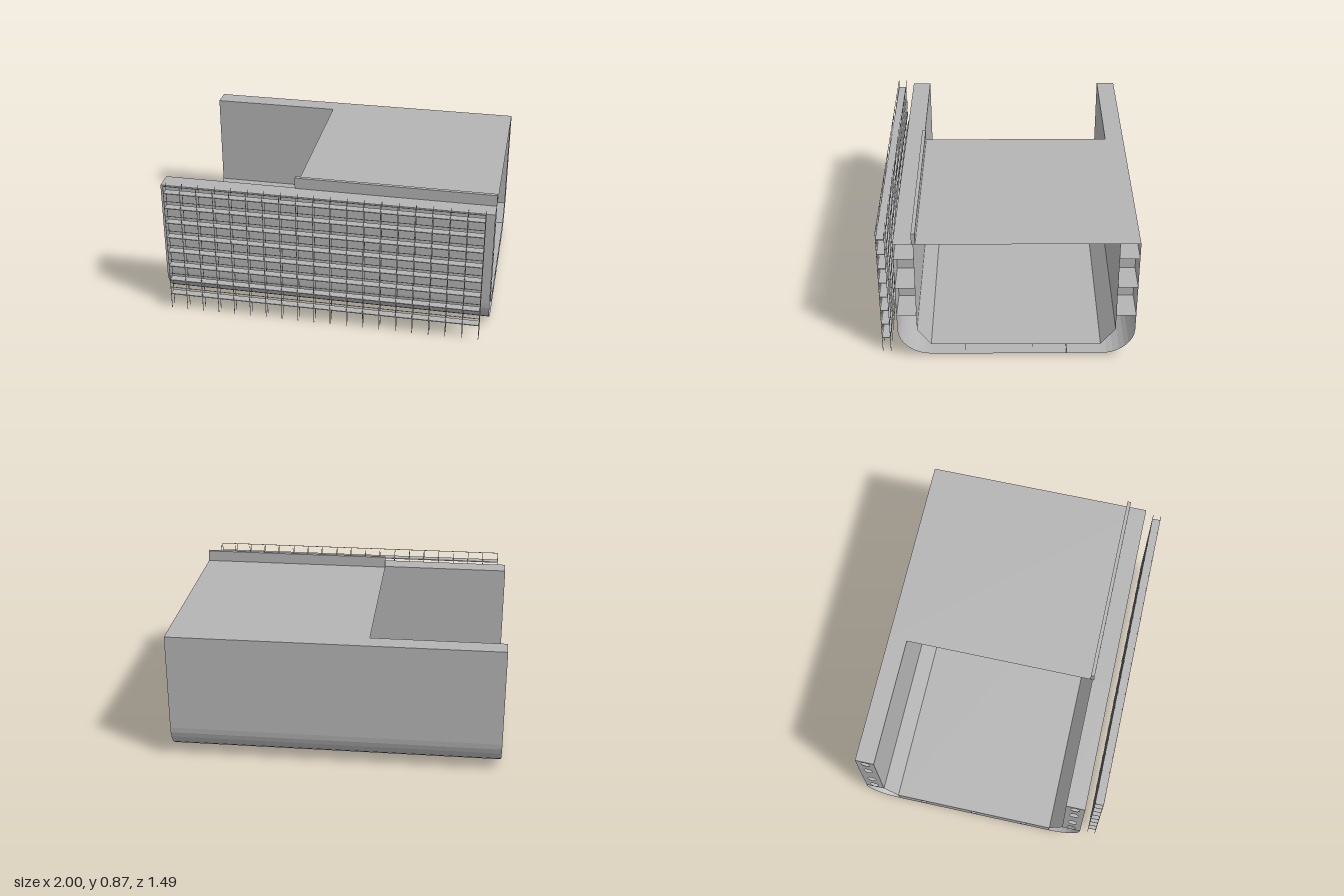
import * as THREE from 'three';

export function createModel() {
  const model = new THREE.Group();
  const steel = new THREE.MeshStandardMaterial({ color: 0xb4b4b4, side: THREE.DoubleSide, flatShading: true });
  steel.name = 'steelGrey';

  const group = (name) => {
    const g = new THREE.Group();
    g.name = name;
    model.add(g);
    return g;
  };
  const add = (parent, name, geometry) => {
    const mesh = new THREE.Mesh(geometry, steel);
    mesh.name = name;
    parent.add(mesh);
    return mesh;
  };
  // Thin plate: a [z, y] section line swept along x
  const plate = (parent, name, line, x0 = -1, x1 = 1) => {
    const pos = [], index = [];
    line.forEach(([z, y], i) => {
      pos.push(x0, y, z, x1, y, z);
      if (i) {
        const a = 2 * i - 2;
        index.push(a, a + 1, a + 2, a + 1, a + 3, a + 2);
      }
    });
    const g = new THREE.BufferGeometry();
    g.setAttribute('position', new THREE.Float32BufferAttribute(pos, 3));
    g.setIndex(index);
    const flat = g.toNonIndexed();
    flat.computeVertexNormals();
    return add(parent, name, flat);
  };
  const box = (parent, name, size, at) =>
    add(parent, name, new THREE.BoxGeometry(...size)).position.set(...at);

  // Hull section dimensions
  const FRONT = 0.65, BACK = -0.745, IN_FRONT = 0.535, IN_BACK = -0.63;
  const TOP = 0.803, TURN = 0.2, KEEL = 0.02, FLOOR = 0.09;
  const FLOOR_FRONT = 0.455, FLOOR_BACK = -0.545;

  // Outer skin with rounded bilges
  const hull = group('hull');
  const skin = [[FRONT, TOP]];
  const STEPS = 8;
  for (let i = 0; i <= STEPS; i++) {
    const a = (i / STEPS) * Math.PI / 2;
    skin.push([FLOOR_FRONT + (FRONT - FLOOR_FRONT) * Math.cos(a), TURN - (TURN - KEEL) * Math.sin(a)]);
  }
  for (let i = STEPS; i >= 0; i--) {
    const a = (i / STEPS) * Math.PI / 2;
    skin.push([FLOOR_BACK + (BACK - FLOOR_BACK) * Math.cos(a), TURN - (TURN - KEEL) * Math.sin(a)]);
  }
  skin.push([BACK, TOP]);
  plate(hull, 'outerSkin', skin);

  // Inner skin: side walls, sloped hoppers and tank floor
  plate(hull, 'innerSkin', [
    [IN_FRONT, TOP], [IN_FRONT, TURN], [FLOOR_FRONT, FLOOR],
    [FLOOR_BACK, FLOOR], [IN_BACK, TURN], [IN_BACK, TOP],
  ]);

  // Deck, open over the hold at one end
  plate(hull, 'deck', [[FRONT, TOP], [BACK, TOP]], -0.2, 1);
  plate(hull, 'frontWallTop', [[FRONT, TOP], [IN_FRONT, TOP]], -1, -0.2);
  plate(hull, 'backWallTop', [[IN_BACK, TOP], [BACK, TOP]], -1, -0.2);
  box(hull, 'coaming', [1.2, 0.07, 0.022], [0.4, 0.837, 0.533]);

  // Longitudinal stringers
  const stringers = group('stringers');
  for (const y of [0.3, 0.5, 0.7]) {
    plate(stringers, 'frontStringer', [[FRONT, y], [IN_FRONT, y]]);
    plate(stringers, 'backStringer', [[IN_BACK, y], [BACK, y]]);
  }
  for (let i = 1; i < 5; i++) {
    const z = FLOOR_FRONT - 0.2 * i;
    plate(stringers, 'bottomStringer', [[z, KEEL], [z, FLOOR]]);
  }

  // Transverse frames with oval lightening holes
  const webGeometry = (z0, z1, y0, y1, holes, rz, ry) => {
    const shape = new THREE.Shape([[z0, y0], [z1, y0], [z1, y1], [z0, y1]].map((p) => new THREE.Vector2(...p)));
    for (const [z, y] of holes) {
      shape.holes.push(new THREE.Path().absellipse(z, y, rz, ry, 0, Math.PI * 2, true));
    }
    return new THREE.ShapeGeometry(shape, 10).rotateY(-Math.PI / 2);
  };
  const sideHoles = (z) => [0.25, 0.4, 0.6, 0.75].map((y) => [z, y]);
  const webs = {
    frontFrame: webGeometry(IN_FRONT, FRONT, TURN, TOP, sideHoles(0.593), 0.026, 0.037),
    backFrame: webGeometry(BACK, IN_BACK, TURN, TOP, sideHoles(-0.687), 0.026, 0.037),
    floorFrame: webGeometry(FLOOR_BACK, FLOOR_FRONT, KEEL, FLOOR,
      [0.285, -0.045, -0.375].map((z) => [z, 0.057]), 0.017, 0.023),
  };
  const frames = group('frames');
  for (let i = 0; i < 10; i++) {
    for (const name in webs) add(frames, name, webs[name]).position.x = -1 + 0.2 * i;
  }

  // Scaffold: two rows of posts, plank walkways and handrails
  const scaffold = group('scaffold');
  for (let i = 0; i < 20; i++) {
    for (const z of [0.7, 0.748]) {
      box(scaffold, 'post', [0.003, 0.85, 0.003], [-0.95 + 0.1 * i, 0.425, z]);
    }
  }
  for (let i = 1; i <= 8; i++) {
    box(scaffold, 'plank', [1.9, 0.005, 0.05], [0, 0.1 * i, 0.724]);
    box(scaffold, 'handrail', [1.9, 0.003, 0.003], [0, 0.1 * i + 0.0485, 0.748]);
  }
  return model;
}
